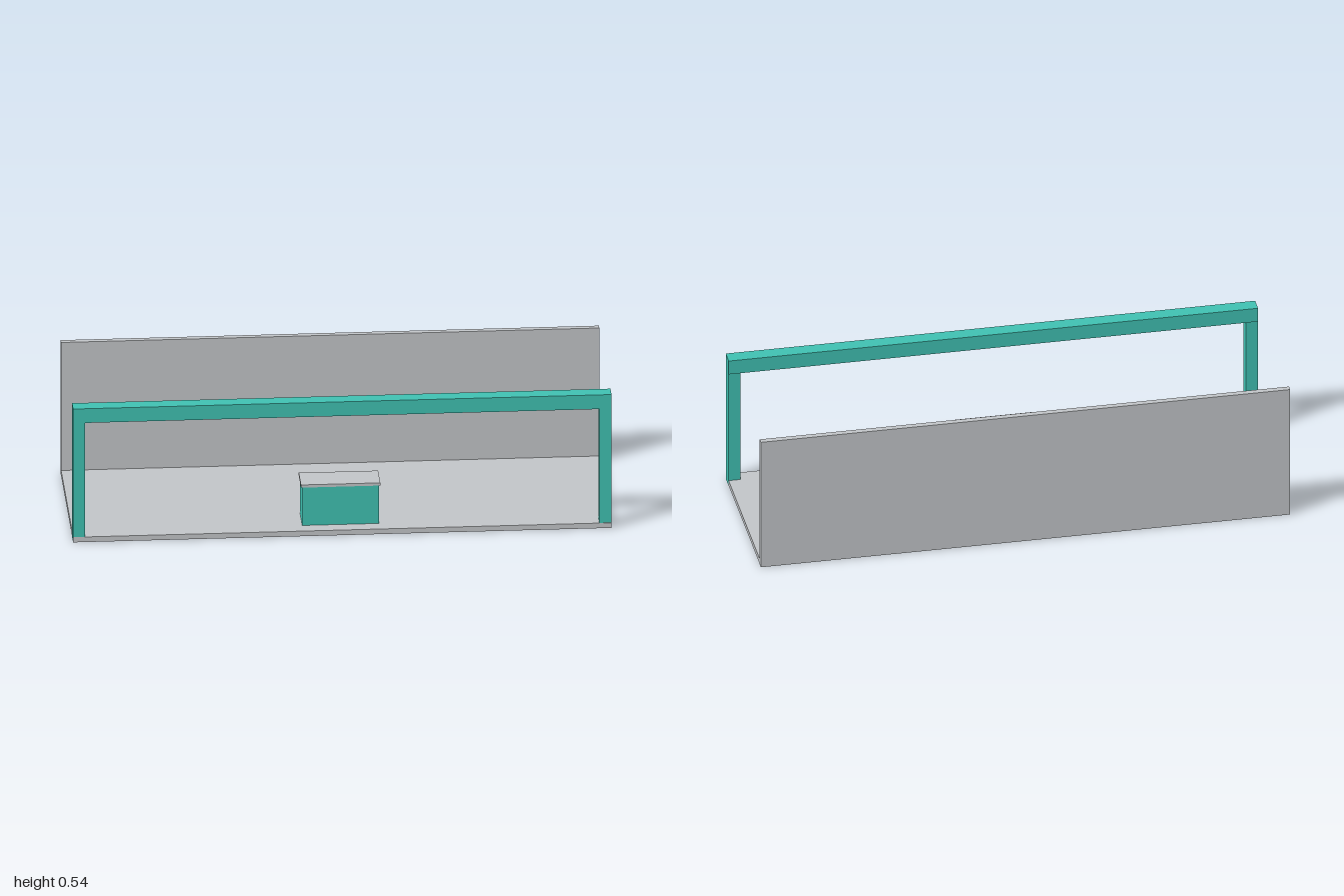
import * as THREE from 'three';

export function createModel() {
  const model = new THREE.Group();
  model.name = 'boothStand';

  const teal = new THREE.MeshStandardMaterial({ color: 0x40c1b2 });
  teal.name = 'teal';
  const grey = new THREE.MeshStandardMaterial({ color: 0xc2c5c8 });
  grey.name = 'lightGrey';

  // Box given by its lower and upper limits on each axis
  function addBox(name, material, [x0, x1], [y0, y1], [z0, z1]) {
    const mesh = new THREE.Mesh(new THREE.BoxGeometry(x1 - x0, y1 - y0, z1 - z0), material);
    mesh.position.set((x0 + x1) / 2, (y0 + y1) / 2, (z0 + z1) / 2);
    mesh.name = name;
    model.add(mesh);
  }

  // Floor slab and back wall
  addBox('floor', grey, [-0.9995, 0.9995], [0.0005, 0.021], [-0.333, 0.333]);
  addBox('backWall', grey, [-1, 1], [0, 0.535], [-0.3335, -0.311]);

  // Front frame: two posts carrying a beam
  for (const [name, side] of [['leftPost', 1], ['rightPost', -1]]) {
    const xs = side > 0 ? [0.955, 1] : [-1, -0.955];
    addBox(name, teal, xs, [0, 0.479], [0.282, 0.331]);
  }
  addBox('frontBeam', teal, [-1, 1], [0.479, 0.536], [0.277, 0.3335]);

  // Counter with an overhanging top
  addBox('counterBody', teal, [-0.145, 0.14], [0.01, 0.174], [0.169, 0.279]);
  addBox('counterTop', grey, [-0.15, 0.145], [0.174, 0.185], [0.164, 0.282]);

  return model;
}
